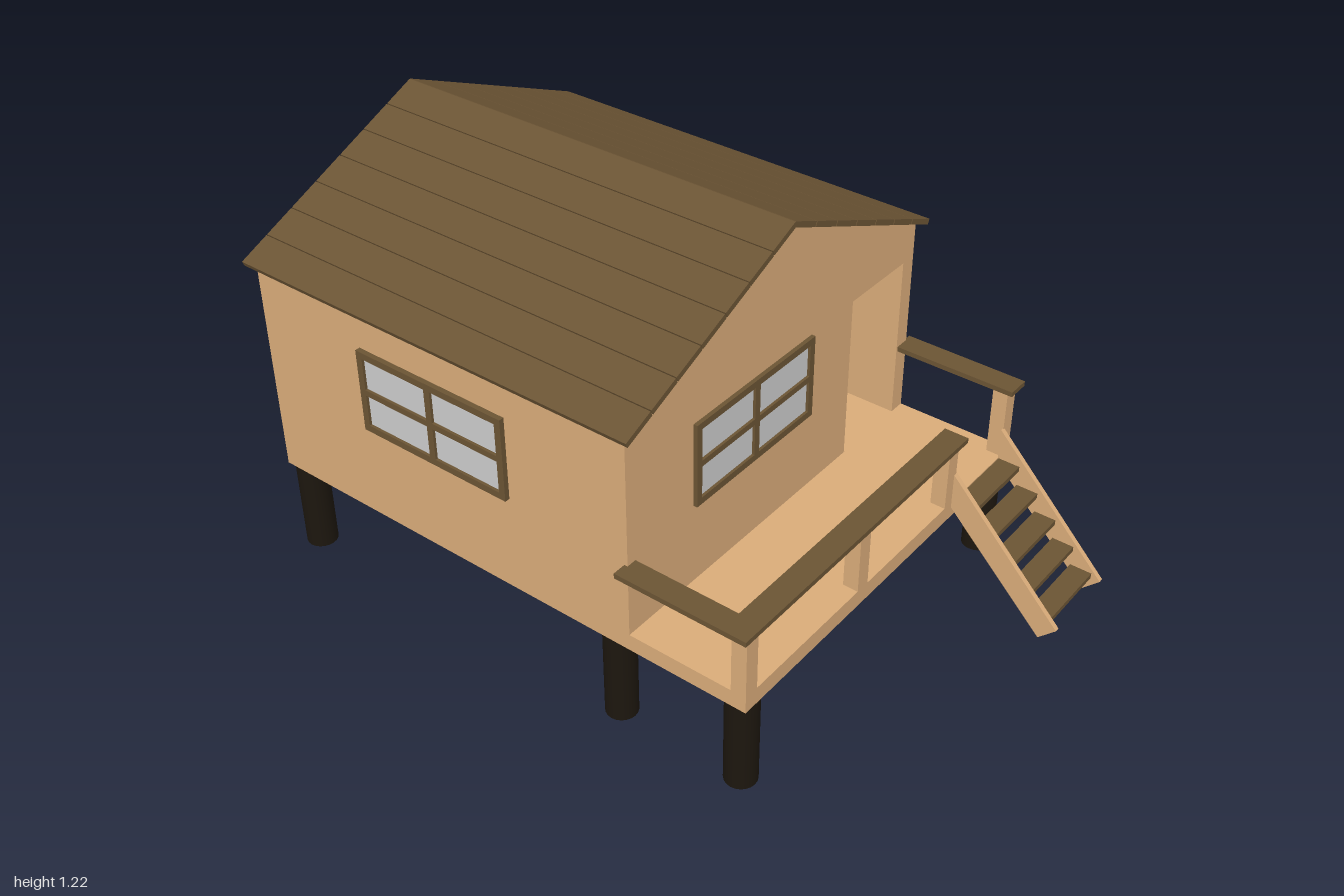
import * as THREE from 'three';

export function createModel() {
  const model = new THREE.Group();
  const paint = (color) => new THREE.MeshStandardMaterial({ color });
  const wood = paint(0xd9ab79), brown = paint(0x6b5434), dark = paint(0x1c160e), glass = paint(0xcccccc);

  const add = (name, geometry, material, parent = model) => {
    const mesh = new THREE.Mesh(geometry, material);
    mesh.name = name;
    parent.add(mesh);
    return mesh;
  };
  // box given by its limits on each axis
  const box = (name, material, x0, x1, y0, y1, z0, z1, parent = model) => {
    const mesh = add(name, new THREE.BoxGeometry(x1 - x0, y1 - y0, z1 - z0), material, parent);
    mesh.position.set((x0 + x1) / 2, (y0 + y1) / 2, (z0 + z1) / 2);
    return mesh;
  };
  const outline = (points, Kind = THREE.Shape) => new Kind(points.map(([x, y]) => new THREE.Vector2(x, y)));
  const rect = (x0, x1, y0, y1) => [[x0, y0], [x1, y0], [x1, y1], [x0, y1]];
  const extrude = (shape, depth) => new THREE.ExtrudeGeometry(shape, { depth, bevelEnabled: false });

  // gabled house body; the front layer has the doorway cut out
  const gable = () => outline([[-0.63, 0.28], [0.62, 0.28], [0.62, 0.935], [0.005, 1.203], [-0.63, 0.93]]);
  add('houseBody', extrude(gable(), 1.085), wood).position.z = -0.965;
  const frontShape = gable();
  frontShape.holes.push(outline(rect(0.32, 0.57, 0.33, 0.83), THREE.Path));
  add('frontWall', extrude(frontShape, 0.17), wood).position.z = 0.12;

  // roof planks on both slopes
  const roof = new THREE.Group();
  roof.name = 'roof';
  model.add(roof);
  const slope = 0.41, pitch = 0.102;
  for (const side of [-1, 1]) {
    for (let i = 0; i < 7; i++) {
      const s = (i + 0.5) * pitch;
      const plank = add('roofPlank', new THREE.BoxGeometry(pitch - 0.003, 0.016, 1.31), brown, roof);
      plank.position.set(
        0.005 + side * (s * Math.cos(slope) - 0.008 * Math.sin(slope)),
        1.222 - s * Math.sin(slope) - 0.008 * Math.cos(slope),
        -0.345
      );
      plank.rotation.z = -side * slope;
    }
  }

  // windows: a four-pane frame over a glass sheet
  const addWindow = (name, x, z, turn) => {
    const group = new THREE.Group();
    group.name = name;
    const shape = outline(rect(-0.25, 0.25, -0.125, 0.125));
    for (const [x0, x1] of [[-0.23, -0.01], [0.01, 0.23]]) {
      for (const [y0, y1] of [[-0.105, -0.009], [0.009, 0.105]]) {
        shape.holes.push(outline(rect(x0, x1, y0, y1), THREE.Path));
      }
    }
    add('windowFrame', extrude(shape, 0.015), brown, group);
    box('windowGlass', glass, -0.24, 0.24, -0.115, 0.115, 0.001, 0.007, group);
    group.position.set(x, 0.7, z);
    group.rotation.y = turn;
    model.add(group);
  };
  addWindow('frontWindow', -0.122, 0.287, 0);
  addWindow('backWindow', 0, -0.963, Math.PI);
  addWindow('leftWindow', 0.623, -0.34, Math.PI / 2);
  addWindow('rightWindow', -0.632, -0.34, -Math.PI / 2);

  // round stilts
  for (const x of [-0.585, 0.575]) {
    for (const z of [0.605, 0.22, -0.92]) {
      add('stilt', new THREE.CylinderGeometry(0.045, 0.045, 0.28, 20), dark).position.set(x, 0.14, z);
    }
  }

  // porch deck, railing posts and hand rails
  box('porchDeck', wood, -0.63, 0.62, 0.28, 0.33, 0.29, 0.647);
  for (const x of [-0.63, -0.15, 0.275, 0.575]) {
    box('railPost', wood, x, x + 0.045, 0.33, 0.537, 0.602, 0.647);
  }
  box('frontRail', brown, -0.67, 0.32, 0.537, 0.552, 0.6, 0.672);
  box('rightRail', brown, -0.67, -0.6, 0.537, 0.552, 0.28, 0.6);
  box('leftRail', brown, 0.575, 0.645, 0.537, 0.552, 0.285, 0.66);

  // stairs: slanted stringers drawn in (z, y), with treads between
  const stringer = outline([[0.95, 0.008], [1, 0.058], [0.645, 0.425], [0.645, 0.315]]);
  for (const x of [0.31, 0.565]) {
    const mesh = add('stairStringer', extrude(stringer, 0.015), wood);
    mesh.rotation.y = -Math.PI / 2;
    mesh.position.x = x + 0.015;
  }
  for (let i = 0; i < 5; i++) {
    const top = 0.328 - i * 0.0635, z = 0.648 + i * 0.0645;
    box('stairTread', brown, 0.325, 0.565, top - 0.016, top, z, z + 0.066);
  }
  return model;
}
